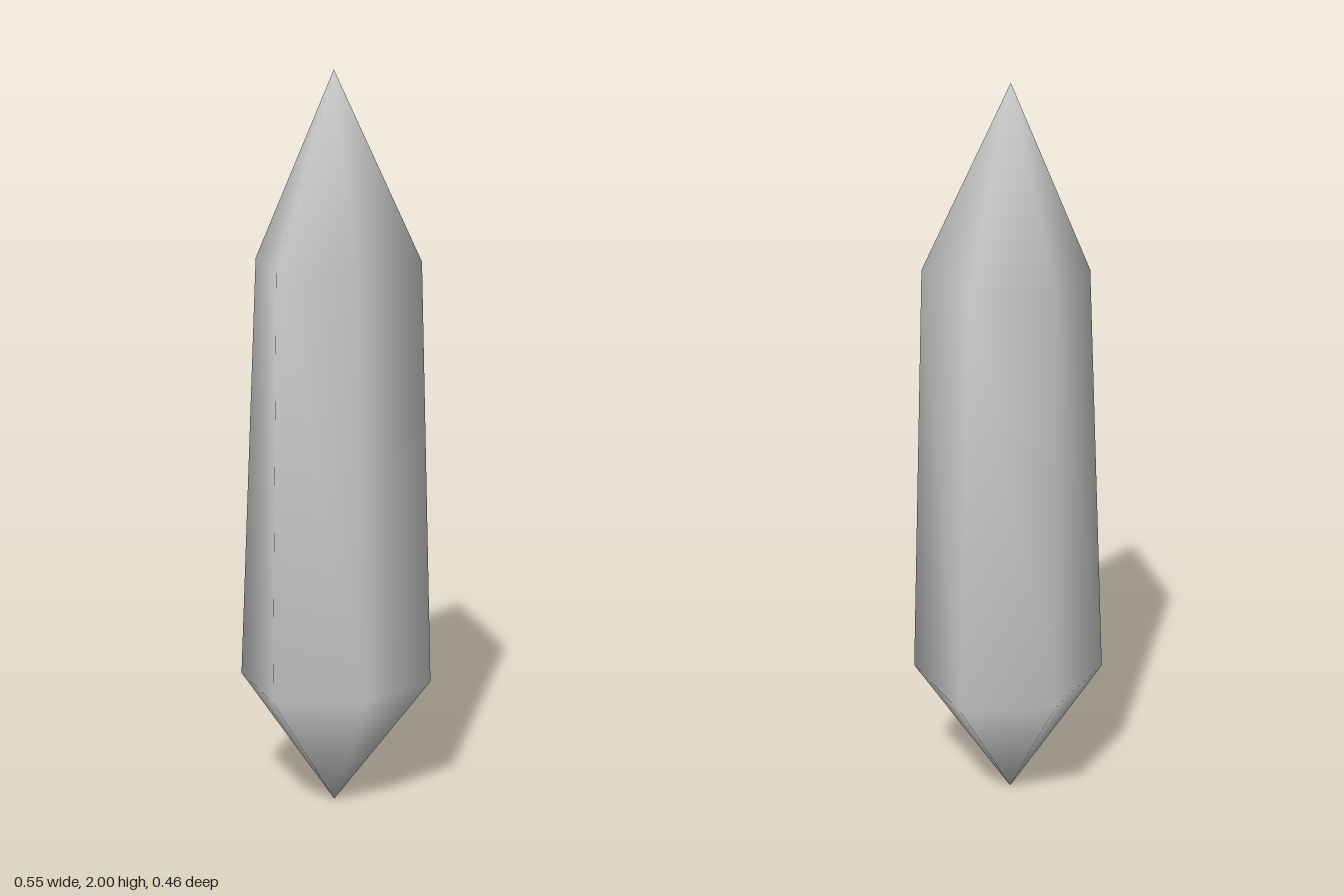
import * as THREE from 'three';

// Six-sided crystal: two uneven rings capped by a point at each end.
export function createModel() {
  const group = new THREE.Group();
  group.name = 'crystal';

  // Ring corners as [x, z], clockwise seen from above
  const lower = [[-0.275, -0.02], [-0.15, -0.225], [0.13, -0.23], [0.272, -0.02], [0.10, 0.226], [-0.127, 0.177]];
  const upper = [[-0.248, -0.02], [-0.113, -0.192], [0.107, -0.211], [0.211, -0.02], [0.10, 0.186], [-0.125, 0.145]];
  const n = lower.length;

  // Vertex order: bottom point, lower ring, upper ring, top point
  const positions = [-0.01, 0, -0.015];
  for (const [x, z] of lower) positions.push(x, 0.365, z);
  for (const [x, z] of upper) positions.push(x, 1.51, z);
  positions.push(-0.01, 2, -0.015);
  const top = 2 * n + 1;

  const index = [];
  for (let i = 0; i < n; i++) {
    const j = (i + 1) % n;
    const a = 1 + i, b = 1 + j, c = 1 + n + i, d = 1 + n + j;
    index.push(0, a, b); // bottom point
    index.push(a, c, d, a, d, b); // shaft
    index.push(c, top, d); // top point
  }

  // Shared vertices give smooth normals over the whole stone
  const geometry = new THREE.BufferGeometry();
  geometry.setAttribute('position', new THREE.Float32BufferAttribute(positions, 3));
  geometry.setIndex(index);
  geometry.computeVertexNormals();

  const shard = new THREE.Mesh(geometry, new THREE.MeshStandardMaterial({ color: 0xcccccc }));
  shard.name = 'crystalShard';
  group.add(shard);
  return group;
}
